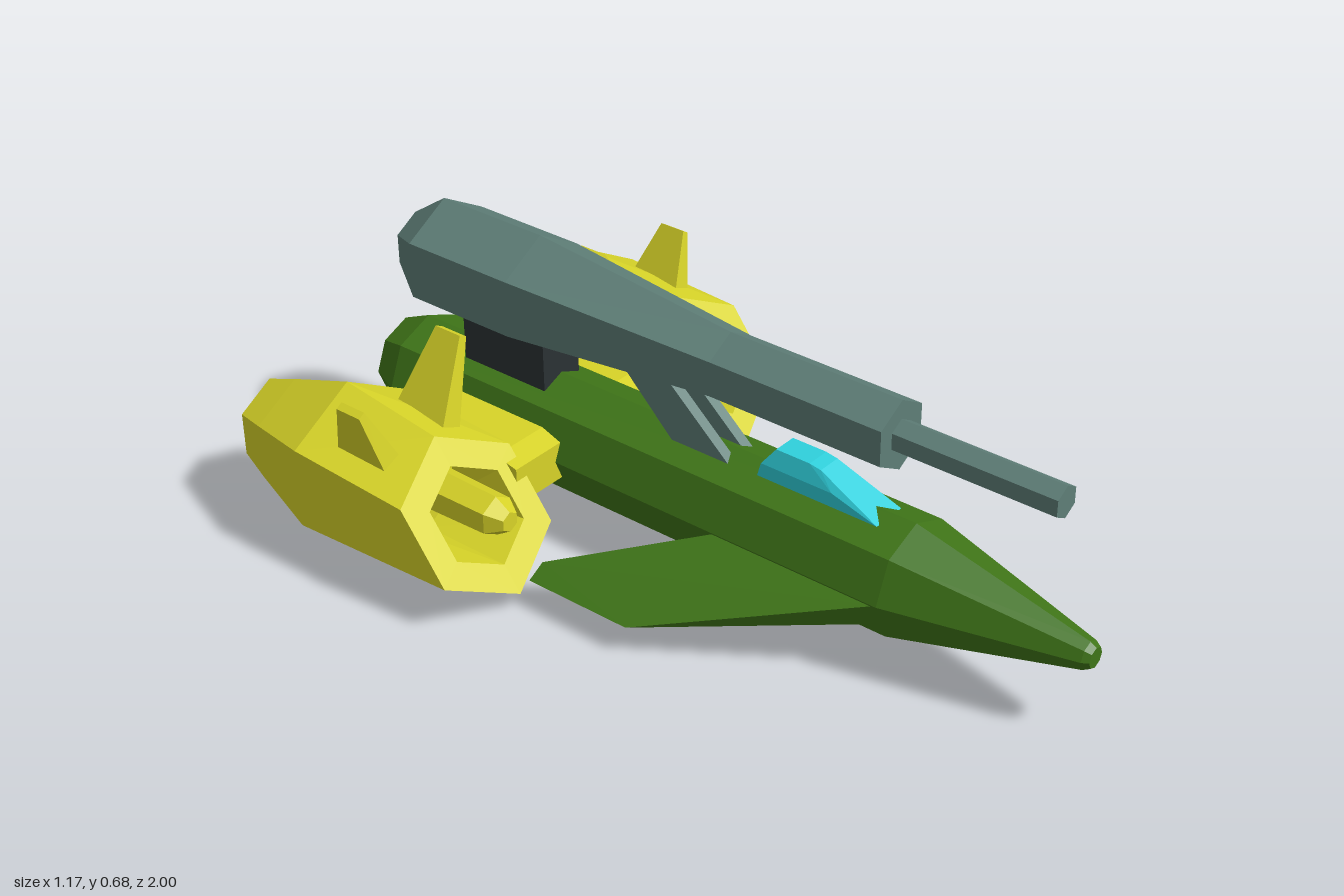
import * as THREE from 'three';
import { ConvexGeometry } from 'three/addons/geometries/ConvexGeometry.js';

const paint = (color) => new THREE.MeshStandardMaterial({ color, flatShading: true });
const green = paint(0x3f7518);
const yellow = paint(0xd8d428);
const steel = paint(0x5f7f78);
const dark = paint(0x2b3234);
const cyan = paint(0x2fd0dc);

export function createModel() {
  const model = new THREE.Group();

  function add(name, geometry, material, parent = model) {
    const mesh = new THREE.Mesh(geometry, material);
    mesh.name = name;
    parent.add(mesh);
    return mesh;
  }

  // Faceted body of revolution along z; profile is [radius, z], back to front
  function spun(profile, sides, x, y, rule) {
    const points = profile.map(([r, z]) => new THREE.Vector2(r, z));
    const geometry = new THREE.LatheGeometry(points, sides).rotateX(Math.PI / 2);
    if (rule) {
      const p = geometry.attributes.position;
      const v = new THREE.Vector3();
      for (let i = 0; i < p.count; i++) {
        rule(v.fromBufferAttribute(p, i));
        p.setXYZ(i, v.x, v.y, v.z);
      }
    }
    return geometry.translate(x, y, 0);
  }

  // Convex solid from its corners, optionally mirrored in x
  const hull = (corners, side = 1) =>
    new ConvexGeometry(corners.map(([x, y, z]) => new THREE.Vector3(x * side, y, z)));

  // Side profile [z, y] stretched across x
  const slab = (profile, x0, x1) =>
    hull(profile.flatMap(([z, y]) => [[x0, y, z], [x1, y, z]]));

  // Fuselage with a recessed exhaust
  add('fuselage', spun([
    [0, -0.88], [0.075, -0.88], [0.09, -0.96], [0.105, -0.96], [0.14, -0.88],
    [0.14, 0.55], [0.034, 0.985], [0.025, 1], [0, 1],
  ], 8, 0, 0.2), green);

  // Canopy
  add('canopy', hull([-1, 1].flatMap((s) => [
    [0.045 * s, 0.325, 0.48], [0.045 * s, 0.325, 0.16],
    [0.045 * s, 0.36, 0.36], [0.045 * s, 0.36, 0.17],
    [0.03 * s, 0.395, 0.32], [0.03 * s, 0.4, 0.29], [0.03 * s, 0.4, 0.2],
  ])), cyan);

  // Cannon body and barrel
  add('cannonBody', spun([
    [0, -0.9], [0.072, -0.9], [0.14, -0.8], [0.14, -0.5],
    [0.085, 0.05], [0.085, 0.5], [0, 0.5],
  ], 6, 0, 0.54), steel);
  add('cannonBarrel', spun([
    [0, 0.48], [0.039, 0.48], [0.039, 0.9], [0, 0.9],
  ], 6, 0, 0.54), steel);

  // Cannon mounts
  add('rearMount', slab([[-0.45, 0.28], [-0.7, 0.28], [-0.7, 0.46], [-0.45, 0.46]], -0.06, 0.06), dark);
  for (const s of [-1, 1]) {
    add('frontStrut', slab([[0.08, 0.32], [-0.08, 0.32], [-0.24, 0.48], [-0.1, 0.48]],
      0.018 * s, 0.045 * s), steel);
  }

  // Beam joining the engines
  add('crossBeam', slab([
    [-0.35, 0.15], [-0.35, 0.245], [-0.41, 0.26], [-0.69, 0.26], [-0.69, 0.15],
  ], -0.27, 0.27), yellow);

  // Raked intake lip: squash the front rings and shear them back with height
  const rakeIntake = (v) => {
    if (v.z > -0.41) {
      v.y *= 0.8;
      v.z = -0.34 - 0.75 * v.y;
    }
  };

  for (const s of [-1, 1]) {
    const side = s > 0 ? 'left' : 'right';

    // Drooping wing
    add(side + 'Wing', hull([
      [0.13, 0.2, 0.55], [0.39, 0.07, 0.07], [0.39, 0.07, -0.21],
      [0.345, 0.095, -0.21], [0.13, 0.2, 0.12],
      [0.1, 0.135, 0.55], [0.27, 0.07, 0.07], [0.345, 0.07, -0.21], [0.1, 0.135, 0.12],
    ], s), green);

    // Engine nacelle with hollow nozzle and intake
    const engine = new THREE.Group();
    engine.name = side + 'Engine';
    model.add(engine);
    add('nacelle', spun([
      [0, -0.92], [0.075, -0.92], [0.085, -1], [0.107, -1], [0.14, -0.91],
      [0.2, -0.73], [0.2, -0.4], [0.125, -0.4], [0.1, -0.5], [0, -0.5],
    ], 6, 0.41 * s, 0.2, rakeIntake), yellow, engine);
    add('intakeSpike', spun([
      [0, -0.52], [0.055, -0.52], [0.05, -0.28], [0.025, -0.24], [0, -0.24],
    ], 6, 0.41 * s, 0.225), yellow, engine);

    // Splayed fins on top of the nacelle
    add('innerFin', hull([
      [0.3, 0.32, -0.49], [0.36, 0.32, -0.49], [0.3, 0.32, -0.65], [0.36, 0.32, -0.65],
      [0.228, 0.51, -0.525], [0.248, 0.52, -0.525], [0.228, 0.51, -0.6], [0.248, 0.52, -0.6],
    ], s), yellow, engine);
    add('outerFin', hull([
      [0.475, 0.32, -0.5], [0.525, 0.3, -0.5], [0.475, 0.32, -0.65], [0.525, 0.3, -0.65],
      [0.546, 0.46, -0.53], [0.562, 0.45, -0.53], [0.546, 0.46, -0.6], [0.562, 0.45, -0.6],
    ], s), yellow, engine);
  }

  return model;
}
